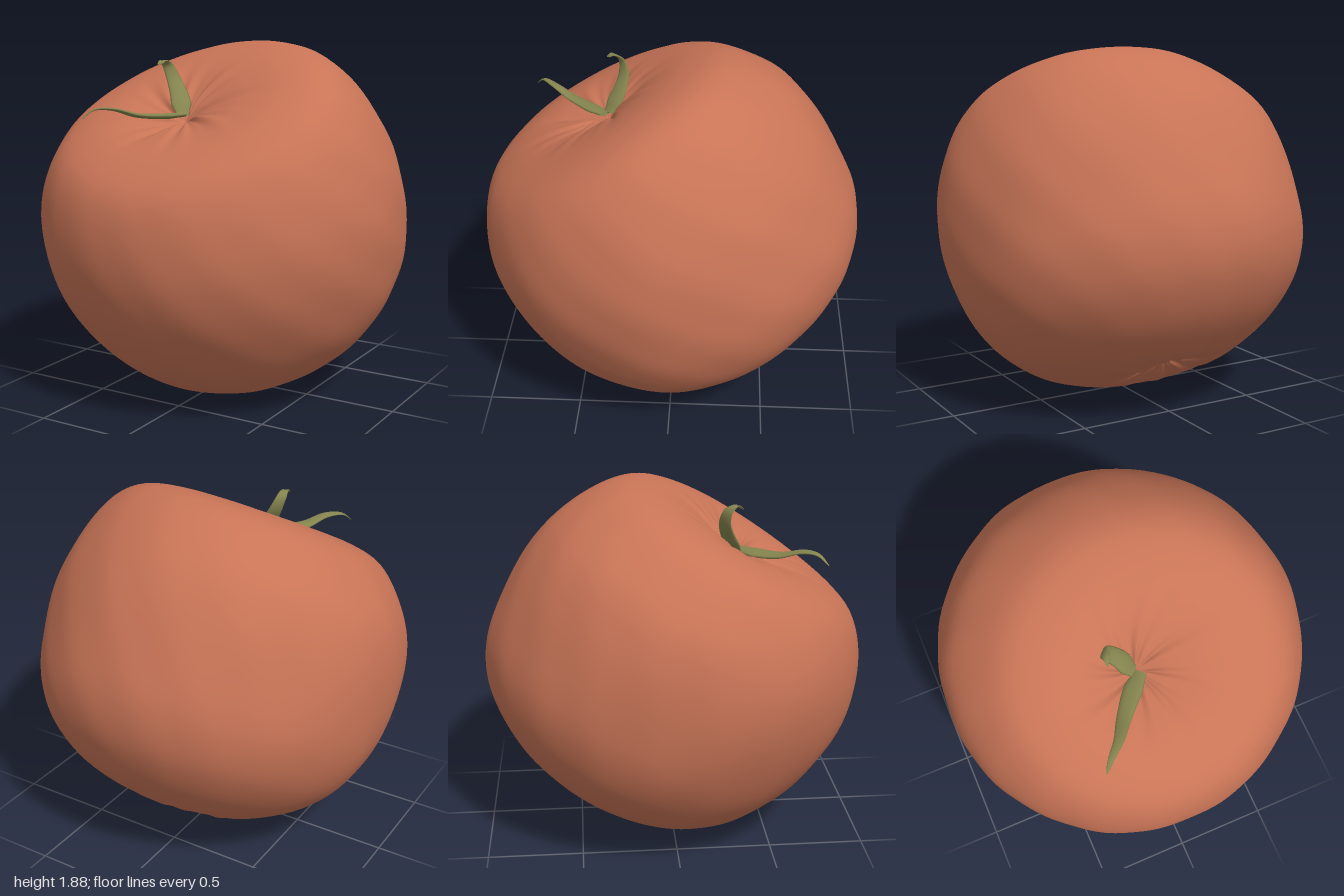
import * as THREE from 'three';
import { mergeVertices } from 'three/addons/utils/BufferGeometryUtils.js';

const TILT = Math.PI / 6; // the fruit's axis leans towards the front
const smooth = THREE.MathUtils.smoothstep;

// Fruit: a lathe, bent out of round by a few smooth rules
function fruitGeometry() {
  const profile = [
    [0, -0.73], [0.03, -0.745], [0.1, -0.775], [0.3, -0.805], [0.56, -0.715], [0.75, -0.575],
    [0.87, -0.41], [0.945, -0.2], [0.975, 0.1], [0.94, 0.36], [0.84, 0.58], [0.7, 0.735],
    [0.52, 0.795], [0.33, 0.795], [0.15, 0.75], [0.04, 0.705], [0, 0.68],
  ].map(([r, y]) => new THREE.Vector2(r, y));
  const points = new THREE.SplineCurve(profile).getPoints(90);
  points.forEach((p) => { p.x = Math.max(p.x, 0); });
  points[0].x = points[points.length - 1].x = 0;

  const lathe = new THREE.LatheGeometry(points, 128);
  const pos = lathe.attributes.position;
  const v = new THREE.Vector3();
  for (let i = 0; i < pos.count; i++) {
    v.fromBufferAttribute(pos, i);
    const r = Math.hypot(v.x, v.z);
    const a = Math.atan2(v.x, v.z);
    const y = v.y;
    // slight lumps on the flanks
    const lump = 1 + r * (0.003 * Math.sin(9 * a - 5 * y + 1) + 0.002 * Math.sin(17 * a + 11 * y));
    v.x *= lump;
    v.z *= lump;
    // lower back swells, upper shoulder rises on one side
    v.z -= 0.035 * Math.exp(-(((y + 0.45) / 0.35) ** 2));
    v.y += 0.11 * v.x * smooth(y, 0.3, 0.7) * (0.45 - 0.7 * v.z);
    // both dimples sit a little off the axis
    v.x -= 0.045 * smooth(Math.abs(y), 0.5, 0.7) * (1 - smooth(r, 0.05, 0.6));
    // creases radiating from the dimples, shallower underneath
    const fade = smooth(r, 0.01, 0.1) * (1 - smooth(r, 0.1, 0.5)) * (y > 0 ? 0.8 : 0.5) * smooth(Math.abs(y), 0.5, 0.7);
    const twist = a + 0.6 * r;
    v.y += fade * (0.008 * Math.sin(11 * twist) + 0.006 * Math.sin(19 * twist + 2) + 0.009 * Math.sin(5 * a + 1));
    pos.setXYZ(i, v.x, v.y, v.z);
  }
  // weld the seam so the shading runs round
  lathe.deleteAttribute('uv');
  lathe.deleteAttribute('normal');
  const geometry = mergeVertices(lathe, 1e-5);
  geometry.rotateX(TILT);
  geometry.computeVertexNormals();
  geometry.computeBoundingBox();
  geometry.translate(0, -geometry.boundingBox.min.y, 0);
  return geometry;
}

// Leaf: a flat oval section swept along a curve and tapered to a point
function leafGeometry(path, side, width, taper, rings = 28, sides = 12) {
  const curve = new THREE.CatmullRomCurve3(path.map((p) => new THREE.Vector3(...p)));
  const across = new THREE.Vector3(...side);
  const positions = [];
  const index = [];
  for (let i = 0; i <= rings; i++) {
    const t = i / rings;
    const centre = curve.getPointAt(t);
    const tangent = curve.getTangentAt(t);
    const u = across.clone().addScaledVector(tangent, -across.dot(tangent)).normalize();
    const n = tangent.clone().cross(u);
    const w = width * (0.55 + 0.45 * smooth(t, 0, 0.2)) * Math.pow(1 - t, taper) + 0.003;
    for (let j = 0; j < sides; j++) {
      const a = (j / sides) * Math.PI * 2;
      const p = centre.clone()
        .addScaledVector(u, Math.cos(a) * w)
        .addScaledVector(n, Math.sin(a) * w * 0.3);
      positions.push(p.x, p.y, p.z);
      if (i < rings) {
        const k = i * sides + j;
        const m = i * sides + ((j + 1) % sides);
        index.push(k, m, k + sides, m, m + sides, k + sides);
      }
    }
  }
  const geometry = new THREE.BufferGeometry();
  geometry.setAttribute('position', new THREE.Float32BufferAttribute(positions, 3));
  geometry.setIndex(index);
  geometry.computeVertexNormals();
  return geometry;
}

export function createModel() {
  const model = new THREE.Group();
  model.name = 'tomato';
  const red = new THREE.MeshStandardMaterial({ color: 0xc87456 });
  const green = new THREE.MeshStandardMaterial({ color: 0x85854f, side: THREE.DoubleSide });
  const add = (name, geometry, material) => {
    const mesh = new THREE.Mesh(geometry, material);
    mesh.name = name;
    model.add(mesh);
  };

  add('fruit', fruitGeometry(), red);

  // Two leaves left at the stalk: one upright and curled, one lying forward
  add('uprightLeaf', leafGeometry([
    [-0.06, 1.52, 0.35], [-0.11, 1.61, 0.3], [-0.165, 1.7, 0.275],
    [-0.19, 1.765, 0.29], [-0.19, 1.79, 0.33], [-0.2, 1.775, 0.365],
  ], [0.7, 0, -0.7], 0.058, 0.6), green);
  add('forwardLeaf', leafGeometry([
    [-0.03, 1.525, 0.37], [-0.11, 1.52, 0.45], [-0.2, 1.53, 0.56],
    [-0.27, 1.565, 0.66], [-0.34, 1.565, 0.73], [-0.38, 1.52, 0.775],
  ], [0.8, 0.15, 0.5], 0.055, 0.75), green);

  return model;
}
